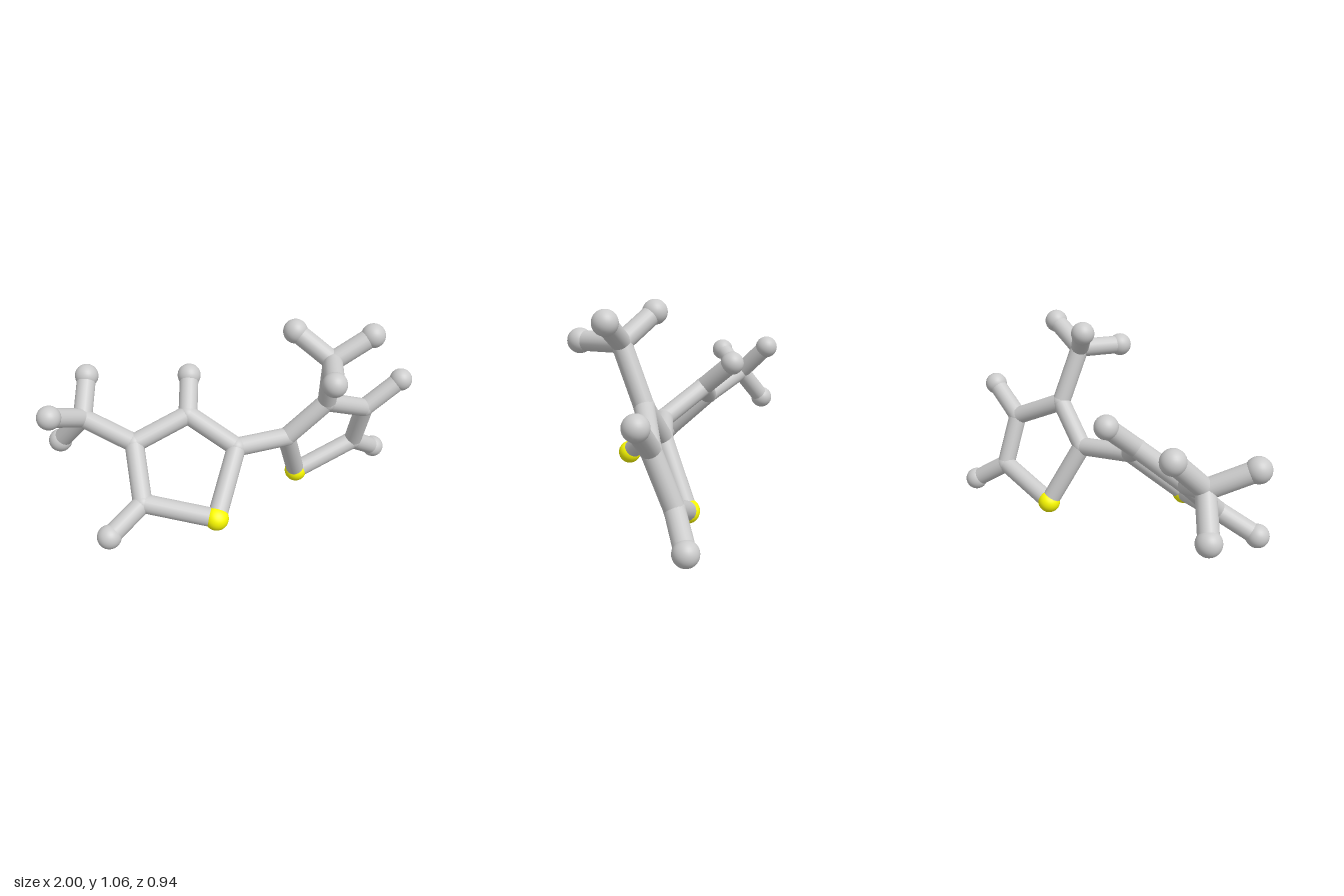
import * as THREE from 'three';

const BALL = 0.061, ROD = 0.049;

// Each ring: five corners in order (first is the yellow one), then its side arms
const rings = [
  {
    name: 'rightRing',
    corners: [[-0.227, 0.163, 0.305], [-0.04, 0.41, 0.075], [-0.243, 0.545, -0.105], [-0.537, 0.44, -0.09], [-0.562, 0.225, 0.14]],
    tips: [[2, [-0.184, 0.688, -0.266]], [4, [-0.754, 0.12, 0.217]]],
    branch: {
      from: 3, hub: [-0.762, 0.543, -0.257],
      tips: [[-0.942, 0.645, -0.125], [-0.698, 0.703, -0.411], [-0.874, 0.366, -0.376]],
    },
  },
  {
    name: 'leftRing',
    corners: [[0.384, 0.061, -0.119], [0.26, 0.383, 0.022], [0.463, 0.58, 0.07], [0.735, 0.455, -0.015], [0.735, 0.19, -0.12]],
    tips: [[3, [0.935, 0.602, 0.005]], [4, [0.916, 0.068, -0.198]]],
    branch: {
      from: 2, hub: [0.424, 0.873, 0.185],
      tips: [[0.275, 1.002, 0.056], [0.626, 0.988, 0.207], [0.329, 0.865, 0.41]],
    },
  },
];

export function createModel() {
  const model = new THREE.Group();
  const grey = new THREE.MeshStandardMaterial({ color: 0xcccccc });
  const yellow = new THREE.MeshStandardMaterial({ color: 0xffff00 });
  const ballGeo = new THREE.SphereGeometry(1, 32, 16);
  const rodGeo = new THREE.CylinderGeometry(ROD, ROD, 1, 20);
  const up = new THREE.Vector3(0, 1, 0);

  const ball = (group, name, p, radius, material = grey) => {
    const mesh = new THREE.Mesh(ballGeo, material);
    mesh.name = name;
    mesh.position.set(...p);
    mesh.scale.setScalar(radius);
    group.add(mesh);
  };

  // Straight rod between two points
  const rod = (group, name, p, q) => {
    const a = new THREE.Vector3(...p), b = new THREE.Vector3(...q);
    const dir = b.clone().sub(a);
    const mesh = new THREE.Mesh(rodGeo, grey);
    mesh.name = name;
    mesh.position.copy(a).add(b).multiplyScalar(0.5);
    mesh.scale.y = dir.length();
    mesh.quaternion.setFromUnitVectors(up, dir.normalize());
    group.add(mesh);
  };

  // Rod ending in a larger ball
  const arm = (group, from, tip) => {
    rod(group, 'armRod', from, tip);
    ball(group, 'armBall', tip, BALL);
  };

  for (const { name, corners, tips, branch } of rings) {
    const group = new THREE.Group();
    group.name = name;

    // Five-sided loop with one yellow ball
    corners.forEach((p, i) => {
      rod(group, 'ringRod', p, corners[(i + 1) % corners.length]);
      if (i === 0) ball(group, 'yellowBall', p, BALL, yellow);
      else ball(group, 'ringJoint', p, ROD + 0.002);
    });
    tips.forEach(([i, tip]) => arm(group, corners[i], tip));

    // Three-armed side branch
    const branchGroup = new THREE.Group();
    branchGroup.name = 'sideBranch';
    rod(branchGroup, 'branchRod', corners[branch.from], branch.hub);
    ball(branchGroup, 'branchJoint', branch.hub, ROD + 0.002);
    branch.tips.forEach((tip) => arm(branchGroup, branch.hub, tip));
    group.add(branchGroup);
    model.add(group);
  }

  // Rod joining the two rings
  rod(model, 'connectingRod', rings[0].corners[1], rings[1].corners[1]);
  return model;
}
